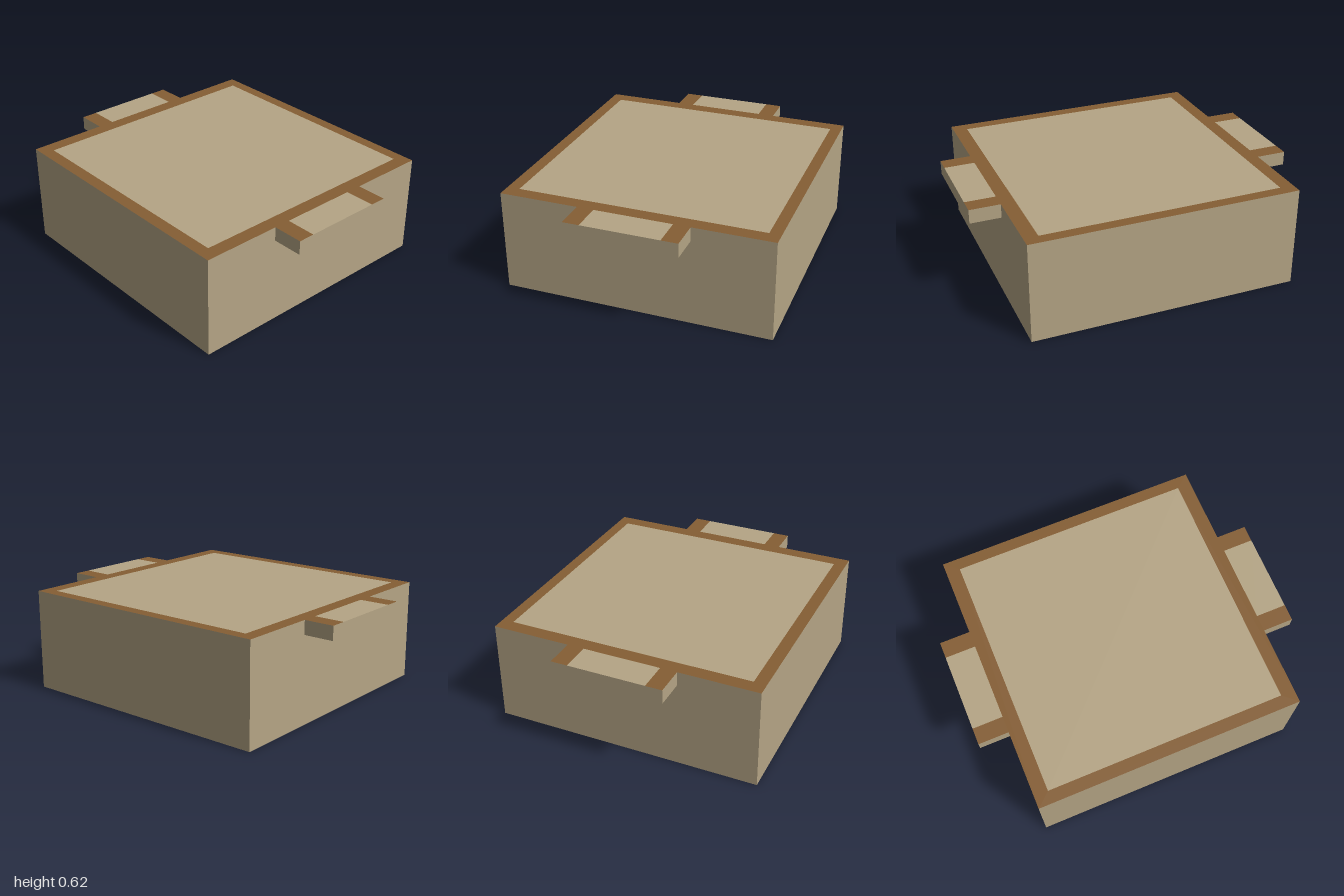
import * as THREE from 'three';

const tan = new THREE.MeshStandardMaterial({ color: 0xb5a585 });
tan.name = 'tan';
const brown = new THREE.MeshStandardMaterial({ color: 0x855e34 });
brown.name = 'brown';

const TOP = 0.615, SKIN = 0.005, HALF = 0.815;

// Box given by its limits; only the upper face takes the top material
function block(name, [x0, x1], [y0, y1], [z0, z1], top = tan) {
  const geometry = new THREE.BoxGeometry(x1 - x0, y1 - y0, z1 - z0);
  const mesh = new THREE.Mesh(geometry, [tan, tan, top, tan, tan, tan]);
  mesh.position.set((x0 + x1) / 2, (y0 + y1) / 2, (z0 + z1) / 2);
  mesh.name = name;
  return mesh;
}

// Flat square frame with brown faces and tan outer edges
function rimFrame() {
  const shape = new THREE.Shape([
    new THREE.Vector2(-HALF, -HALF), new THREE.Vector2(HALF, -HALF),
    new THREE.Vector2(HALF, HALF), new THREE.Vector2(-HALF, HALF),
  ]);
  shape.holes.push(new THREE.Path([
    new THREE.Vector2(-0.73, -0.74), new THREE.Vector2(-0.73, 0.745),
    new THREE.Vector2(0.73, 0.745), new THREE.Vector2(0.73, -0.74),
  ]));
  const geometry = new THREE.ExtrudeGeometry(shape, { depth: SKIN, bevelEnabled: false });
  geometry.rotateX(-Math.PI / 2);
  const mesh = new THREE.Mesh(geometry, [brown, tan]);
  mesh.position.y = TOP - SKIN;
  mesh.name = 'rim';
  return mesh;
}

// Side handle: a slab with a tan grip between two brown ends
function handle(side) {
  const group = new THREE.Group();
  group.name = side > 0 ? 'leftHandle' : 'rightHandle';
  const x = side > 0 ? [HALF, 1] : [-1, -HALF];
  const skin = [TOP - SKIN, TOP];
  group.add(
    block('handleSlab', x, [0.53, TOP - SKIN], [-0.335, 0.335]),
    block('handleGrip', x, skin, [-0.235, 0.235]),
    block('handleBackEnd', x, skin, [-0.335, -0.235], brown),
    block('handleFrontEnd', x, skin, [0.235, 0.335], brown),
  );
  return group;
}

export function createModel() {
  const model = new THREE.Group();
  model.name = 'handledBox';
  model.add(
    block('body', [-HALF, HALF], [0, TOP - SKIN], [-HALF, HALF]),
    rimFrame(),
    block('topPanel', [-0.73, 0.73], [TOP - SKIN, TOP], [-0.745, 0.74]),
    handle(1),
    handle(-1),
  );
  return model;
}
